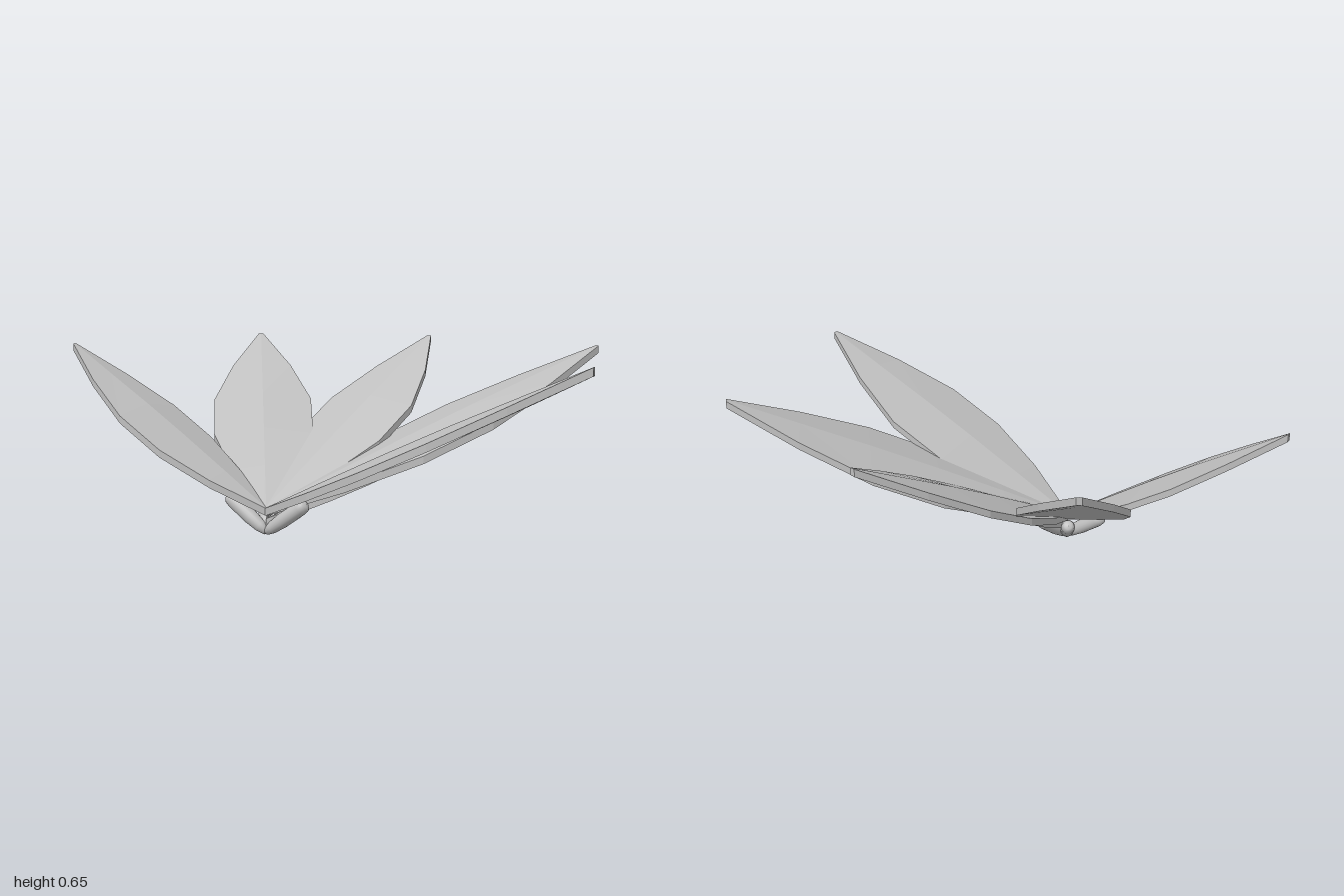
import * as THREE from 'three';

// Outline of a leaf: [fraction of length, half width / length, midrib arch]
const OUTLINE = [[0, 0.006, 0], [0.2, 0.116, 0.006], [0.4, 0.184, 0.01],
  [0.6, 0.186, 0.01], [0.8, 0.115, 0.005], [1, 0.009, 0]];
const CX = -0.22, CZ = 0.235; // point where the whole fan meets

// Folded leaf with a raised midrib, lofted from base to tip
function leafGeometry(base, tip, widthScale, drop, thick) {
  const axis = tip.clone().sub(base);
  const flat = new THREE.Vector3(axis.x, 0, axis.z);
  const length = flat.length();
  const side = new THREE.Vector3(0, 1, 0).cross(flat).normalize();
  const rings = OUTLINE.map(([s, w, arch]) => {
    const half = w * length * widthScale;
    const fold = drop * w / 0.184;
    const at = (k, dy) => base.clone().addScaledVector(axis, s)
      .addScaledVector(side, k * half).add(new THREE.Vector3(0, dy, 0));
    return [at(-1, -fold - thick), at(0, arch - thick), at(1, -fold - thick),
      at(1, -fold), at(0, arch), at(-1, -fold)];
  });
  const pos = [];
  const tri = (...pts) => pts.forEach((p) => pos.push(p.x, p.y, p.z));
  for (let i = 0; i < rings.length - 1; i++) {
    for (let j = 0; j < 6; j++) {
      const k = (j + 1) % 6;
      tri(rings[i][j], rings[i][k], rings[i + 1][k]);
      tri(rings[i][j], rings[i + 1][k], rings[i + 1][j]);
    }
  }
  // Close both ends
  const first = rings[0], last = rings[rings.length - 1];
  for (let j = 0; j < 6; j++) {
    const k = (j + 1) % 6;
    if (j === 4 || k === 4) continue;
    tri(last[4], last[j], last[k]);
    tri(first[4], first[k], first[j]);
  }
  const geo = new THREE.BufferGeometry();
  geo.setAttribute('position', new THREE.Float32BufferAttribute(pos, 3));
  geo.computeVertexNormals();
  return geo;
}

// Plump stalk, narrow at the foot and rounded at the outer end
function stalkGeometry(length) {
  const profile = [[0, 0], [0.013, 0], [0.022, 0.15], [0.027, 0.4], [0.027, 0.85],
    [0.023, 0.95], [0.014, 0.99], [0, 1]];
  return new THREE.LatheGeometry(profile.map(([r, t]) => new THREE.Vector2(r, t * length)), 18);
}

export function createModel() {
  const model = new THREE.Group();
  const grey = new THREE.MeshStandardMaterial({ color: 0xbfbfbf });
  grey.name = 'leafGrey';
  const add = (name, geo) => {
    const mesh = new THREE.Mesh(geo, grey);
    mesh.name = name;
    model.add(mesh);
    return mesh;
  };

  // Five broad leaves, by tip x, z and width, each with a short stalk beneath
  const leaves = [[-0.997, -0.13, 1.03], [-0.343, -0.715, 1.09], [0.383, -0.625, 1],
    [0.997, -0.137, 1], [0.835, 0.685, 1]];
  const up = new THREE.Vector3(0, 1, 0);
  leaves.forEach(([x, z, width], i) => {
    add('broadLeaf' + (i + 1), leafGeometry(new THREE.Vector3(CX, 0.1, CZ),
      new THREE.Vector3(x, 0.655, z), width, 0.016, 0.028));

    const out = new THREE.Vector3(x - CX, 0, z - CZ).normalize();
    const foot = new THREE.Vector3(CX, 0.012, CZ);
    const dir = out.multiplyScalar(0.162).setY(0.117);
    const stalk = add('stalk' + (i + 1), stalkGeometry(dir.length()));
    stalk.position.copy(foot);
    stalk.quaternion.setFromUnitVectors(up, dir.normalize());
  });

  // Three slender leaves below the gaps
  [[-0.09, 0.32, -0.235], [0.265, 0.325, -0.075], [0.39, 0.335, 0.247]].forEach(([x, y, z], i) => {
    add('slenderLeaf' + (i + 1), leafGeometry(new THREE.Vector3(CX, 0.06, CZ),
      new THREE.Vector3(x, y, z), 0.23, 0.008, 0.024));
  });

  return model;
}
